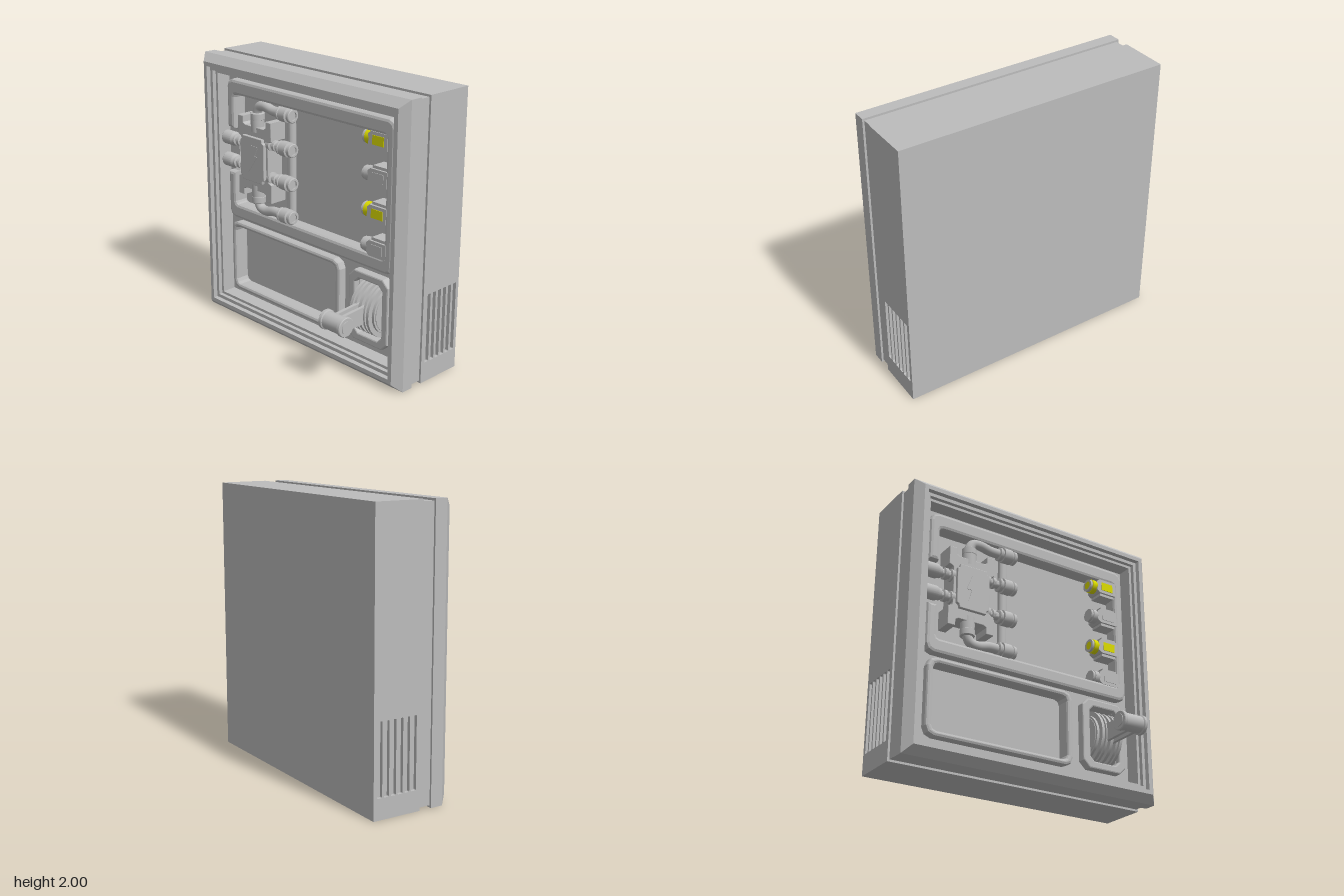
import * as THREE from 'three';
import { toCreasedNormals } from 'three/addons/utils/BufferGeometryUtils.js';

const grey = new THREE.MeshStandardMaterial({ color: 0xbcbcbc });
grey.name = 'grey metal';
const yellow = new THREE.MeshStandardMaterial({ color: 0xdcdc00 });
yellow.name = 'yellow';

const V = (x, y) => new THREE.Vector2(x, y);

export function createModel() {
  const root = new THREE.Group();
  root.name = 'fuseBox';

  const add = (name, geo, x = 0, y = 0, z = 0, mat = grey) => {
    const m = new THREE.Mesh(geo, mat);
    m.name = name;
    m.position.set(x, y, z);
    root.add(m);
    return m;
  };
  const box = (name, x0, x1, y0, y1, z0, z1, mat) =>
    add(name, new THREE.BoxGeometry(x1 - x0, y1 - y0, z1 - z0),
      (x0 + x1) / 2, (y0 + y1) / 2, (z0 + z1) / 2, mat);

  // rectangle with cut corners, starting and ending on its left side
  const rect = (x0, y0, x1, y1, c) => [V(x0, y0 + c), V(x0 + c * 0.3, y0 + c * 0.3), V(x0 + c, y0),
    V(x1 - c, y0), V(x1 - c * 0.3, y0 + c * 0.3), V(x1, y0 + c), V(x1, y1 - c),
    V(x1 - c * 0.3, y1 - c * 0.3), V(x1 - c, y1), V(x0 + c, y1), V(x0 + c * 0.3, y1 - c * 0.3), V(x0, y1 - c)];
  // octagon version, with flat cut corners
  const oct = (x0, y0, x1, y1, c) => [V(x0, y0 + c), V(x0 + c, y0), V(x1 - c, y0), V(x1, y0 + c),
    V(x1, y1 - c), V(x1 - c, y1), V(x0 + c, y1), V(x0, y1 - c)];
  // plate between two depths, with optional holes and bevel
  const plate = (name, pts, holes, z0, z1, b = 0, mat = grey) => {
    const s = new THREE.Shape(pts);
    holes.forEach((h) => s.holes.push(new THREE.Path(h)));
    const geo = new THREE.ExtrudeGeometry(s, { depth: z1 - z0 - 2 * b, bevelEnabled: b > 0,
      bevelSize: b, bevelThickness: b, bevelSegments: 2 });
    return add(name, geo, 0, 0, z0 + b, mat);
  };
  // plate drawn in (z, y) that runs across x
  const crossPlate = (name, pts, x0, x1) => {
    const geo = new THREE.ExtrudeGeometry(new THREE.Shape(pts), { depth: x1 - x0, bevelEnabled: false });
    geo.rotateY(-Math.PI / 2);
    return add(name, geo, x1, 0, 0);
  };
  // turned part along x (or along y), from [position, radius] pairs
  const turned = (name, profile, x, y, z, alongY = false, mat = grey) => {
    const geo = toCreasedNormals(new THREE.LatheGeometry(profile.map(([t, r]) => V(r, t)), 24), 0.6);
    if (!alongY) geo.rotateZ(-Math.PI / 2);
    return add(name, geo, x, y, z, mat);
  };

  // rear cabinet and slotted side panels
  box('cabinet', -0.975, 0.975, 0, 2, -0.43, -0.07);
  for (const s of [-1, 1]) {
    const slots = [];
    for (let i = 0; i < 6; i++) {
      const z = -0.122 - i * 0.0525;
      slots.push(rect(z - 0.019, 0.145, z + 0.019, 0.645, 0.006));
    }
    const shape = new THREE.Shape([V(-0.43, 0), V(-0.07, 0), V(-0.07, 2), V(-0.43, 2)]);
    slots.forEach((h) => shape.holes.push(new THREE.Path(h)));
    const geo = new THREE.ExtrudeGeometry(shape, { depth: 0.025, bevelEnabled: false });
    geo.rotateY(-Math.PI / 2);
    add('ventPanel', geo, s > 0 ? 1 : -0.975);
  }

  // stepped square door frame with the seam behind it
  const steps = [[0.985, -0.07], [0.985, 0.02], [1, 0.02], [1, 0.11], [0.945, 0.17], [0.915, 0.17],
    [0.91, 0.14], [0.885, 0.14], [0.885, 0.11], [0.865, 0.11], [0.865, -0.02]];
  const frameGeo = toCreasedNormals(new THREE.LatheGeometry(
    steps.map(([r, z]) => V(r * Math.SQRT2, z)), 4, Math.PI / 4), 0.2);
  frameGeo.rotateX(Math.PI / 2);
  add('doorFrame', frameGeo, 0, 1, 0);
  box('seamBack', -0.985, 0.985, 0.015, 1.985, -0.08, -0.06);

  // front panel with three openings
  plate('frontPanel', [V(-0.88, 0.12), V(0.88, 0.12), V(0.88, 1.88), V(-0.88, 1.88)], [
    rect(-0.765, 0.82, 0.765, 1.77, 0.03),
    rect(-0.775, 0.21, 0.315, 0.7, 0.04),
    oct(0.48, 0.24, 0.755, 0.68, 0.04)], -0.06, 0);

  // upper rim, open on its left for the cables
  const lo = 1.1, hi = 1.48;
  plate('upperRim', [V(-0.805, lo), ...rect(-0.805, 0.785, 0.805, 1.805, 0.04), V(-0.805, hi),
    V(-0.775, hi), ...rect(-0.775, 0.85, 0.775, 1.735, 0.04).reverse(), V(-0.775, lo)],
  [], -0.06, 0.06, 0.022);
  crossPlate('rimRamp', [V(0, lo - 0.03), V(0, lo + 0.04), V(0.045, lo - 0.03)], -0.81, -0.76);
  crossPlate('rimRamp', [V(0, hi + 0.03), V(0.045, hi + 0.03), V(0, hi - 0.04)], -0.81, -0.76);

  // lower left rim and lever surround
  plate('lowerRim', rect(-0.79, 0.2, 0.33, 0.715, 0.05),
    [rect(-0.78, 0.205, 0.32, 0.71, 0.05)], -0.06, 0.06, 0.018);
  plate('leverRim', oct(0.445, 0.21, 0.79, 0.71, 0.045),
    [oct(0.485, 0.245, 0.755, 0.675, 0.04)], -0.06, 0.06, 0.01);
  plate('leverInnerRim', oct(0.475, 0.235, 0.765, 0.685, 0.04),
    [oct(0.5, 0.25, 0.74, 0.665, 0.03)], -0.06, 0.02);

  // lever drum made of discs
  const discs = [[0.622, 0.215, 0.165], [0.52, 0.02, 0.15], [0.545, 0.022, 0.2], [0.578, 0.018, 0.2],
    [0.622, 0.024, 0.2], [0.666, 0.018, 0.2], [0.699, 0.022, 0.2], [0.725, 0.02, 0.15]];
  for (const [x, w, r] of discs) {
    turned('leverDrum', [[-w / 2, 0], [-w / 2, r], [w / 2, r], [w / 2, 0]], x, 0.455, -0.05);
  }
  // lever arms and grip
  for (const x of [0.59, 0.65]) {
    crossPlate('leverArm', [V(-0.05, 0.39), V(0.36, 0.4), V(0.36, 0.51), V(0.17, 0.52), V(-0.05, 0.53)],
      x - 0.012, x + 0.012);
  }
  turned('leverGrip', [[-0.105, 0], [-0.105, 0.045], [-0.1, 0.045], [-0.1, 0.065], [-0.095, 0.07],
    [-0.075, 0.07], [-0.07, 0.062], [0.07, 0.062], [0.075, 0.07], [0.095, 0.07], [0.1, 0.065],
    [0.1, 0.045], [0.105, 0.045], [0.105, 0]], 0.615, 0.46, 0.36);

  // transformer block, one quarter outline mirrored four ways
  const cx = -0.505, cy = 1.285;
  const quarter = [[0.14, 0.13], [0.145, 0.15], [0.175, 0.165], [0.175, 0.295], [0.125, 0.295], [0.125, 0.25], [0.1, 0.235]];
  const mirrored = (pts) => {
    const f = (sx, sy) => pts.map(([x, y]) => V(cx + sx * x, cy + sy * y));
    return [...f(1, 1), ...f(-1, 1).reverse(), ...f(-1, -1), ...f(1, -1).reverse()];
  };
  plate('transformerBody', mirrored(quarter), [], -0.06, 0.08, 0.004);
  plate('transformerCover', mirrored([[0.122, 0.13], [0.105, 0.14], [0.1, 0.163]]), [], 0.07, 0.105, 0.004);
  // hazard bolt
  plate('hazardBolt', [[-0.01, 0.105], [0.07, 0.105], [0.03, 0.03], [0.06, 0.03], [-0.04, -0.105],
    [-0.015, -0.015], [-0.055, -0.015]].map(([x, y]) => V(cx + x, cy + y)).reverse(), [], 0.104, 0.109);

  // vertical bus bar
  turned('busBar', [[0.82, 0], [0.82, 0.032], [1.76, 0.032], [1.76, 0]], -0.205, 0, -0.01, true);

  // couplings on the bus bar
  const pz = 0.04;
  const coupling = [[-0.075, 0], [-0.075, 0.038], [-0.07, 0.05], [-0.055, 0.05], [-0.05, 0.042], [-0.042, 0.042],
    [-0.04, 0.055], [0.025, 0.055], [0.03, 0.042], [0.038, 0.042], [0.043, 0.05], [0.062, 0.05],
    [0.067, 0.045], [0.067, 0.03], [0.055, 0.03], [0.055, 0]];
  const rows = [1.665, 1.415, 1.165, 0.915];
  rows.forEach((y) => turned('coupling', coupling, -0.2, y, pz));

  // short links between block and inner couplings
  for (const y of [rows[1], rows[2]]) {
    turned('sideLink', [[-0.02, 0.045], [0.015, 0.045], [0.02, 0.028], [0.035, 0.028], [0.04, 0.04],
      [0.06, 0.04], [0.065, 0.03], [0.1, 0.03]], -0.365, y, pz);
  }

  // bent pipes and their sockets, above and below the block
  for (const s of [1, -1]) {
    const at = (x, d) => new THREE.Vector3(x, cy + 0.005 + s * d, pz);
    const path = new THREE.CatmullRomCurve3([at(-0.51, 0.28), at(-0.51, 0.34), at(-0.485, 0.382),
      at(-0.43, 0.393), at(-0.34, 0.376), at(-0.26, 0.375)]);
    add('bentPipe', new THREE.TubeGeometry(path, 32, 0.035, 16));
    const socket = turned('pipeSocket', [[0.2, 0.05], [0.29, 0.05], [0.292, 0.052], [0.335, 0.052],
      [0.34, 0.045], [0.34, 0]], -0.51, cy, pz, true);
    if (s < 0) socket.rotation.z = Math.PI;
  }

  // cable plugs on the left
  for (const y of [1.375, 1.205]) {
    turned('cablePlug', [[-0.865, 0], [-0.865, 0.045], [-0.855, 0.052], [-0.765, 0.052], [-0.75, 0.042],
      [-0.735, 0.042], [-0.73, 0.028], [-0.715, 0.028], [-0.71, 0.042], [-0.685, 0.042], [-0.68, 0.03],
      [-0.665, 0.03], [-0.66, 0.045], [-0.6, 0.045]], 0, y, pz);
  }

  // sockets on the right, every other one marked yellow
  rows.forEach((y, i) => {
    const mat = i % 2 ? grey : yellow;
    turned('socketNose', [[0.54, 0], [0.54, 0.04], [0.545, 0.046], [0.558, 0.046], [0.56, 0.052], [0.6, 0.052]],
      0, y, 0.01, false, mat);
    turned('socketCollar', [[0.538, 0.03], [0.538, 0.048], [0.556, 0.048], [0.556, 0.03]], 0, y, 0.01);
    plate('socketBody', [V(0.595, y - 0.035), V(0.62, y - 0.055), V(0.765, y - 0.055),
      V(0.765, y + 0.055), V(0.62, y + 0.055), V(0.595, y + 0.035)], [], -0.06, 0.06);
    for (const s of [-1, 1]) {
      box('socketGuide', 0.63, 0.765, y + s * 0.065 - 0.01, y + s * 0.065 + 0.01, -0.06, 0.045);
    }
    box('socketWindow', 0.635, 0.735, y - 0.032, y + 0.032, 0.058, 0.064, mat);
  });

  return root;
}
